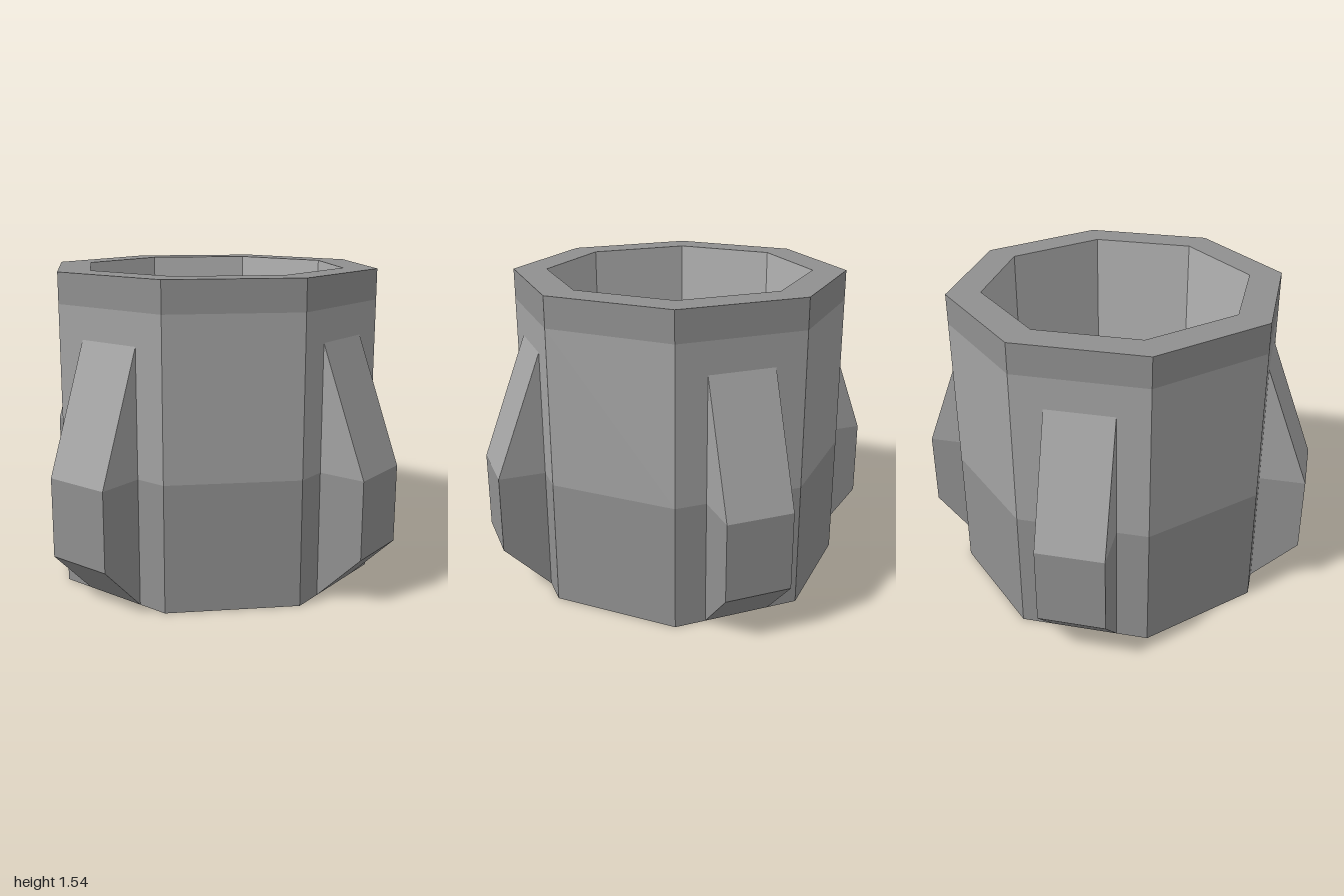
import * as THREE from 'three';

const HEIGHT = 1.54, RIM_Y = 1.39, BAND_Y = 0.62, FIN_TOP = 1.235;
const OUTER = 0.77, INNER = 0.615, FIN_WIDTH = 0.33;

const paint = (color) => new THREE.MeshStandardMaterial({ color, flatShading: true });
const dark = paint(0x909090), mid = paint(0xa3a3a3), light = paint(0xb3b3b3);

const toPoints = (list) => list.map(([x, y]) => new THREE.Vector2(x, y));

// Eight-sided surface from a profile of [apothem, y], flat sides facing the axes
function octagonal(name, profile, material) {
  const points = toPoints(profile.map(([a, y]) => [a / Math.cos(Math.PI / 8), y]));
  const geometry = new THREE.LatheGeometry(points, 8);
  geometry.rotateY(Math.PI / 8);
  const mesh = new THREE.Mesh(geometry, material);
  mesh.name = name;
  return mesh;
}

// Prism from a side profile of [x, y], centred on z = 0
function prism(name, profile, material) {
  const shape = new THREE.Shape(toPoints(profile));
  const geometry = new THREE.ExtrudeGeometry(shape, { depth: FIN_WIDTH, bevelEnabled: false });
  geometry.translate(0, 0, -FIN_WIDTH / 2);
  const mesh = new THREE.Mesh(geometry, material);
  mesh.name = name;
  return mesh;
}

export function createModel() {
  const group = new THREE.Group();

  // Open octagonal tube: dark base and rim, lighter middle band and lining
  group.add(
    octagonal('baseBand', [[INNER, 0], [OUTER, 0], [OUTER, BAND_Y]], dark),
    octagonal('middleBand', [[OUTER, BAND_Y], [OUTER, RIM_Y]], mid),
    octagonal('rim', [[OUTER, RIM_Y], [OUTER, HEIGHT], [INNER, HEIGHT]], dark),
    octagonal('lining', [[INNER, HEIGHT], [INNER, 0]], light),
  );

  // Four tapered fins, one on each axis-facing side
  ['leftFin', 'backFin', 'rightFin', 'frontFin'].forEach((name, i) => {
    const fin = new THREE.Group();
    fin.name = name;
    fin.add(
      prism('finBase', [[OUTER, 0], [1, 0.235], [1, BAND_Y], [OUTER, BAND_Y]], dark),
      prism('finSlope', [[OUTER, BAND_Y], [1, BAND_Y], [OUTER, FIN_TOP]], mid),
    );
    fin.rotation.y = i * Math.PI / 2;
    group.add(fin);
  });

  return group;
}
